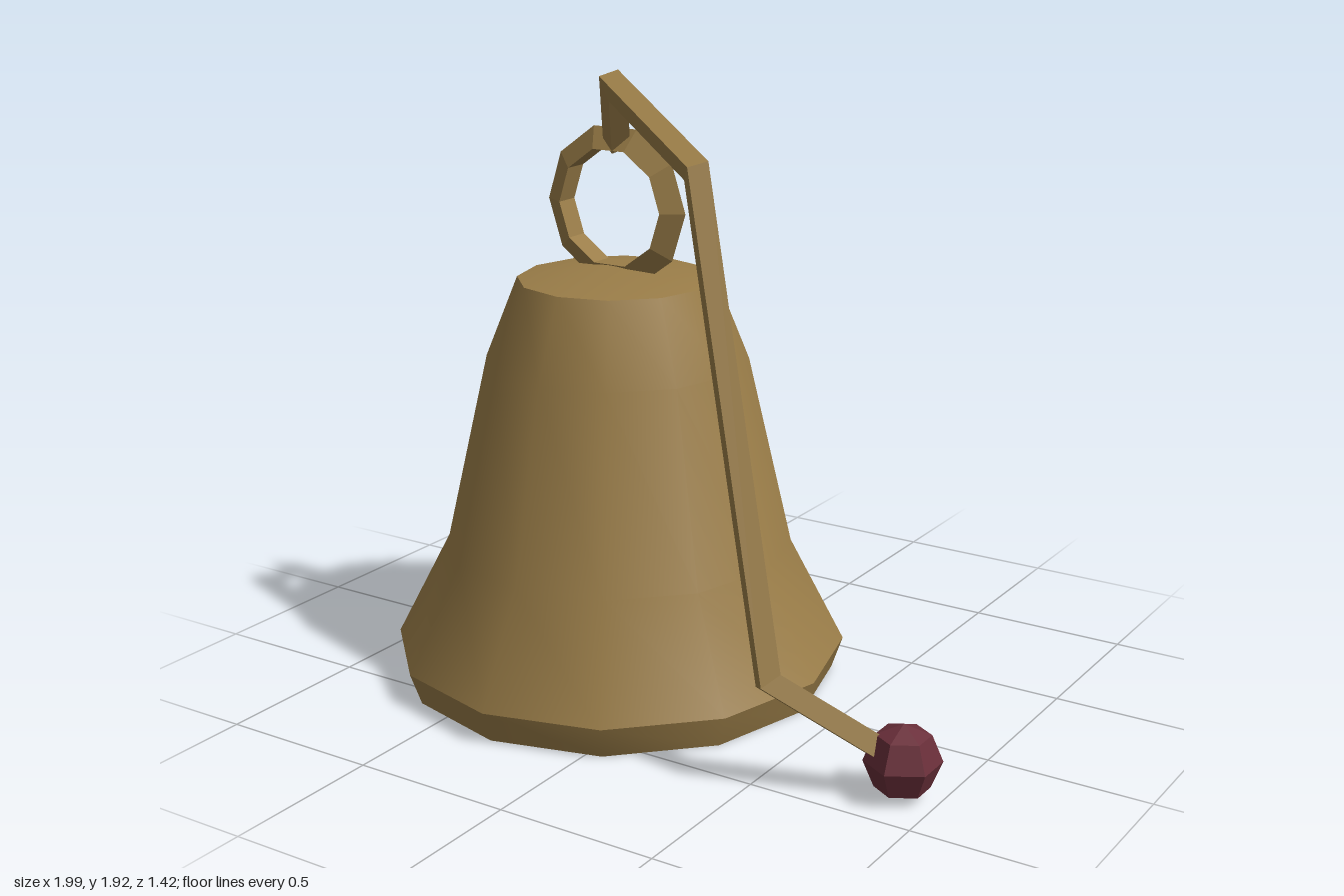
import * as THREE from 'three';
import { toCreasedNormals } from 'three/addons/utils/BufferGeometryUtils.js';

const V = (x, y, z) => new THREE.Vector3(x, y, z);

// Mitred square bar along a path; the section is set on segment `ref` and slid along the others.
function mitredBar(path, ref, radius) {
  const n = path.length;
  const dirs = path.slice(1).map((p, i) => p.clone().sub(path[i]).normalize());
  const planeNormal = (i) => i === 0 ? dirs[0] : i === n - 1 ? dirs[n - 2] : dirs[i - 1].clone().add(dirs[i]).normalize();
  const slide = (ring, dir, i) => ring.map((p) => {
    const m = planeNormal(i);
    return p.clone().addScaledVector(dir, path[i].clone().sub(p).dot(m) / dir.dot(m));
  });

  // square section with its corners facing sideways and forward
  const d = dirs[ref];
  const u = V(1, 0, 0).addScaledVector(d, -d.x).normalize();
  const v = d.clone().cross(u);
  const base = [0, 1, 2, 3].map((k) => {
    const a = k * Math.PI / 2;
    return path[ref].clone().addScaledVector(u, radius * Math.cos(a)).addScaledVector(v, radius * Math.sin(a));
  });
  const rings = [];
  rings[ref] = slide(base, d, ref);
  for (let i = ref + 1; i < n; i++) rings[i] = slide(rings[i - 1], dirs[i - 1], i);
  for (let i = ref - 1; i >= 0; i--) rings[i] = slide(rings[i + 1], dirs[i], i);

  const pts = [];
  const quad = (a, b, c, e) => pts.push(a, b, c, a, c, e);
  for (let i = 0; i < n - 1; i++) {
    for (let k = 0; k < 4; k++) {
      const j = (k + 1) % 4;
      quad(rings[i][k], rings[i][j], rings[i + 1][j], rings[i + 1][k]);
    }
  }
  quad(...rings[0].slice().reverse());
  quad(...rings[n - 1]);
  const geo = new THREE.BufferGeometry().setFromPoints(pts);
  geo.computeVertexNormals();
  return geo;
}

// Flat facets without changing the material
function faceted(geo) {
  const g = geo.toNonIndexed();
  g.computeVertexNormals();
  return g;
}

export function createModel() {
  const model = new THREE.Group();
  model.name = 'bell';
  const brass = new THREE.MeshStandardMaterial({ name: 'brass', color: 0x9a7d48 });
  const darkRed = new THREE.MeshStandardMaterial({ name: 'darkRed', color: 0x6a2f3a });
  const add = (name, geo, mat, x = 0, y = 0, z = 0) => {
    const mesh = new THREE.Mesh(geo, mat);
    mesh.name = name;
    mesh.position.set(x, y, z);
    model.add(mesh);
    return mesh;
  };
  const bellX = -0.29;

  // twelve-sided bell with a slightly hollow underside
  const profile = [[0, 0.05], [0.675, 0], [0.71, 0.1], [0.54, 0.43], [0.405, 1.02], [0.305, 1.27], [0, 1.32]]
    .map(([r, y]) => new THREE.Vector2(r, y));
  add('bellBody', toCreasedNormals(new THREE.LatheGeometry(profile, 12), 0.6), brass, bellX);

  // clapper showing below the underside
  add('clapper', faceted(new THREE.CylinderGeometry(0.11, 0.085, 0.08, 6)), brass, bellX + 0.02, 0.04, 0.18);

  // ten-sided hanging ring of triangular section
  add('hangingRing', faceted(new THREE.TorusGeometry(0.205, 0.045, 3, 10)), brass, bellX, 1.49, 0);

  // bent pull lever
  const lever = [V(-0.285, 1.68, 0), V(-0.2, 1.875, 0.135), V(0.225, 1.7, 0.355), V(0.56, 0.335, 0.51), V(0.89, 0.11, 0.34)];
  add('lever', mitredBar(lever, 2, 0.043), brass);

  // faceted knob on the lever end
  const knob = add('knob', faceted(new THREE.SphereGeometry(0.112, 6, 4)), darkRed, 0.895, 0.112, 0.34);
  knob.rotation.y = Math.PI / 2;

  return model;
}
